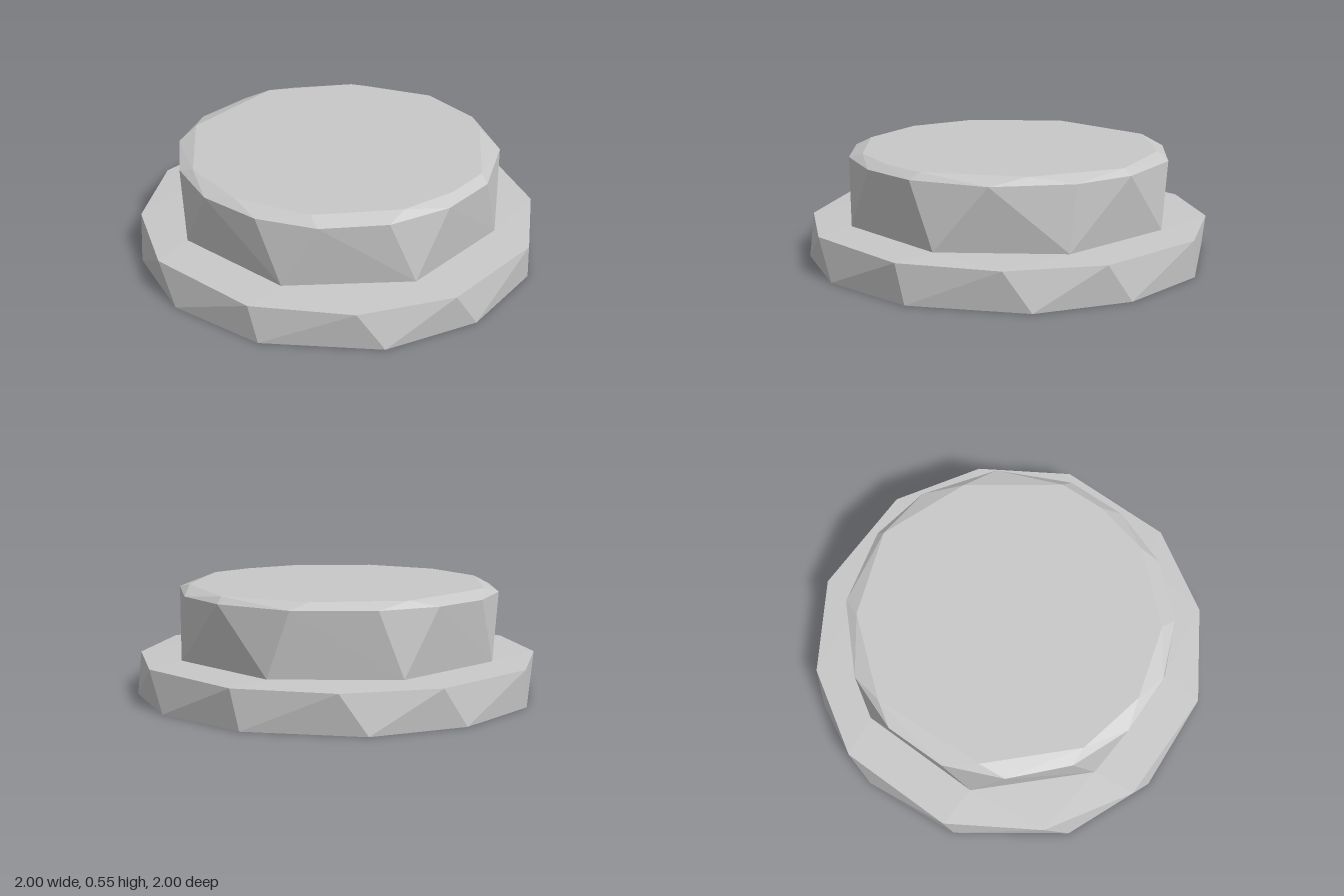
import * as THREE from 'three';
import { ConvexGeometry } from 'three/addons/geometries/ConvexGeometry.js';

// Horizontal ring of points from [x, z] pairs
const ring = (pairs, y) => pairs.map(([x, z]) => new THREE.Vector3(x, y, z));

// Repeats a few [x, z] pairs in all four quarters
const quarters = (pairs) => {
  const out = [];
  for (const [x, z] of pairs) out.push([x, z], [-z, x], [-x, -z], [z, -x]);
  return out;
};

export function createModel() {
  const group = new THREE.Group();
  group.name = 'steppedDisc';
  const grey = new THREE.MeshStandardMaterial({ color: 0xc8c8c8, flatShading: true });
  grey.name = 'light grey';

  const add = (name, points) => {
    const mesh = new THREE.Mesh(new ConvexGeometry(points), grey);
    mesh.name = name;
    group.add(mesh);
  };

  // Foot of the crown, shared by both parts
  const foot = ring(quarters([[0.70, 0.40], [0.21, 0.78]]), 0.2);

  // Twelve-sided flange, twisted between bottom and top, rising slightly to the crown
  add('flange', [
    ...ring(quarters([[1.0, -0.02], [0.84, 0.53], [0.48, 0.87]]), 0),
    ...ring(quarters([[0.985, 0.11], [0.82, 0.57], [0.36, 0.93]]), 0.19),
    ...foot,
  ]);

  // Faceted crown: eight-sided foot, fifteen-sided shoulder, bevelled flat top
  const shoulder = [
    [0.785, 0.155], [0.615, 0.50], [0.38, 0.69], [0.08, 0.79], [-0.24, 0.765],
    [-0.50, 0.62], [-0.70, 0.38], [-0.79, 0.08], [-0.765, -0.24], [-0.62, -0.51],
    [-0.38, -0.70], [-0.09, -0.795], [0.30, -0.745], [0.61, -0.51], [0.76, -0.24],
  ];
  const top = [
    [0.735, -0.03], [0.60, 0.45], [0.42, 0.60], [0.16, 0.72], [-0.26, 0.69], [-0.57, 0.47],
    [-0.73, 0.15], [-0.67, -0.34], [-0.24, -0.715], [0.21, -0.71], [0.59, -0.48],
  ];
  add('crown', [...foot, ...ring(shoulder, 0.515), ...ring(top, 0.547)]);

  return group;
}
